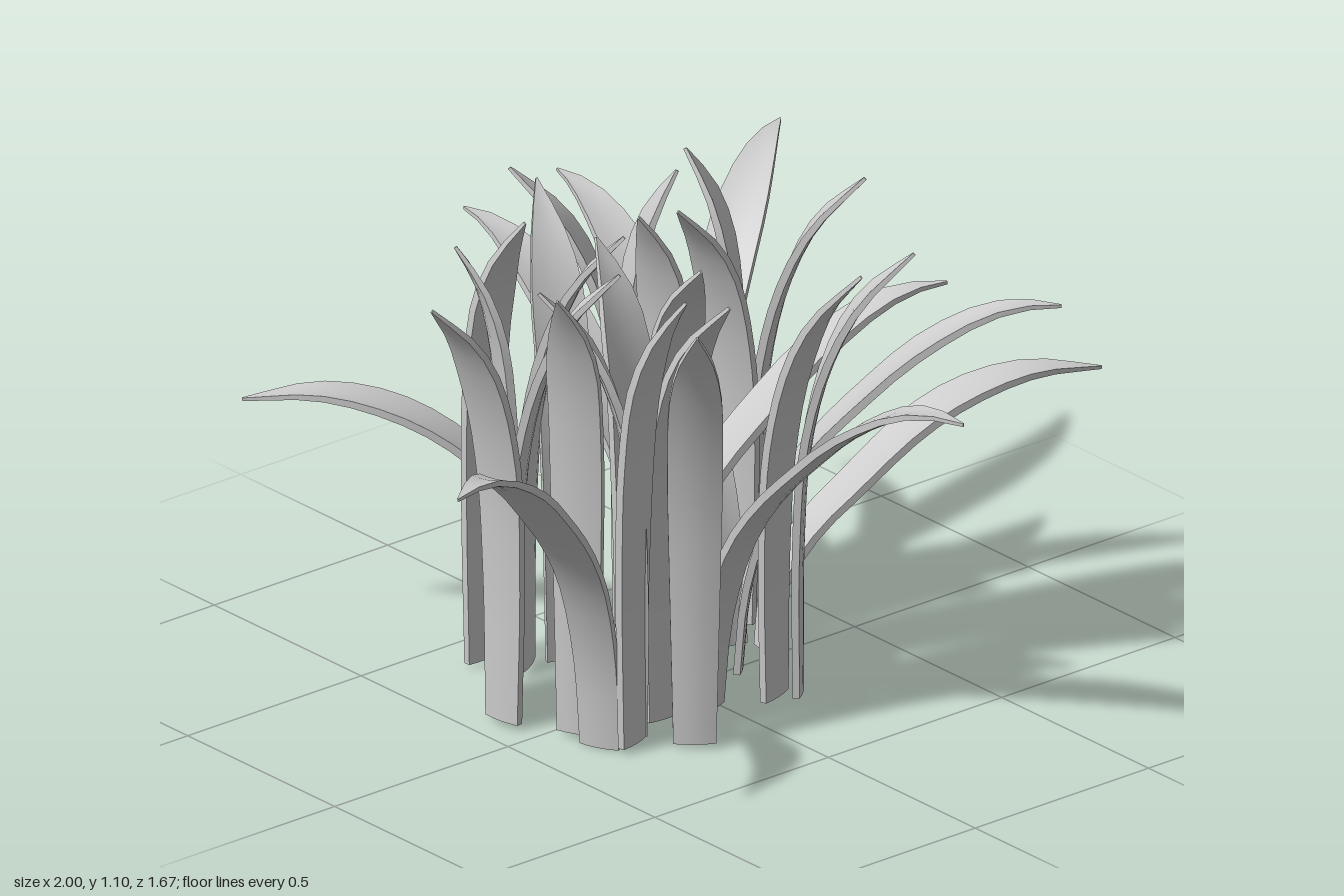
import * as THREE from 'three';
import { toCreasedNormals } from 'three/addons/utils/BufferGeometryUtils.js';

// Blade kinds: side profile as [outward, height], plus the share of length taken by the point
const KINDS = {
  uprightBlade: { taper: 0.24, profile: [[0, 0.01], [0, 0.4], [0.01, 0.7], [0.03, 0.87], [0.07, 1.0], [0.13, 1.1]] },
  leaningBlade: { taper: 0.28, profile: [[0, 0.01], [0, 0.35], [0.015, 0.6], [0.06, 0.8], [0.13, 0.95], [0.24, 1.07]] },
  archingBlade: { taper: 0.32, profile: [[0, 0], [0.02, 0.2], [0.08, 0.4], [0.16, 0.53], [0.28, 0.66], [0.4, 0.77], [0.55, 0.86], [0.65, 0.882], [0.715, 0.88]] },
  lowBlade: { taper: 0.36, profile: [[0, 0], [0.02, 0.15], [0.1, 0.28], [0.2, 0.37], [0.36, 0.5], [0.49, 0.56], [0.63, 0.585], [0.79, 0.565]] },
};

// Placement of every blade: [base x, base z, tip x, tip z]
const BLADES = {
  uprightBlade: [
    [-0.25, -0.38, -0.24, -0.25], [-0.33, -0.20, -0.44, -0.25], [0.09, -0.31, 0.20, -0.25],
    [0.37, -0.24, 0.29, -0.33], [-0.17, 0.04, -0.17, -0.09], [-0.29, 0.18, -0.25, 0.31],
    [0.09, -0.15, -0.03, -0.11], [-0.35, 0.06, -0.46, 0.12],
  ],
  leaningBlade: [
    [-0.43, -0.10, -0.66, -0.07], [-0.20, -0.29, -0.08, -0.10], [-0.36, -0.14, -0.22, 0.05],
    [0.38, -0.19, 0.53, 0.0], [0.31, -0.18, 0.10, -0.13], [0.15, -0.37, -0.03, -0.55],
    [-0.11, -0.26, -0.02, -0.47], [-0.23, 0.13, -0.42, 0.01], [0.01, -0.06, -0.07, 0.15],
    [-0.15, 0.12, -0.15, 0.34], [0.11, 0.19, 0.18, 0.40], [0.17, 0.20, 0.35, 0.38],
    [-0.19, 0.27, -0.31, 0.42],
  ],
  archingBlade: [
    [-0.345, 0.13, -1.0, 0.42], [-0.03, 0.13, 0.11, 0.83], [0.215, -0.10, 0.32, -0.80],
    [0.02, -0.07, 0.03, -0.775], [0.27, -0.31, 0.87, -0.69], [0.165, 0.0, 0.69, 0.48],
    [-0.10, 0.0, 0.58, 0.22],
  ],
  lowBlade: [[0.26, -0.02, 1.0, 0.25], [0.03, -0.31, -0.555, -0.84]],
};

const WIDTH = 0.122, THICK = 0.018, KEEL = 0.007, ACROSS = 4, STEPS = 18;

// Sweeps a thin keeled section along the profile: slim foot, full middle, rounded point
function bladeGeometry({ profile, taper }, reach) {
  const stretch = reach / profile[profile.length - 1][0];
  const curve = new THREE.CatmullRomCurve3(profile.map(([r, y]) => new THREE.Vector3(r * stretch, y, 0)));
  const positions = [], index = [], ring = 2 * (ACROSS + 1);
  for (let i = 0; i <= STEPS; i++) {
    const t = i / STEPS;
    const p = curve.getPointAt(t), d = curve.getTangentAt(t);
    const point = 1 - Math.pow(Math.max(0, 1 - (1 - t) / taper), 1.9);
    const w = Math.max(0.03, point * Math.min(1, 0.78 + 0.4 * t));
    for (let k = 0; k < ring; k++) {
      const upper = k <= ACROSS;
      const j = upper ? k : ring - 1 - k;
      const s = (2 * j) / ACROSS - 1;
      const n = KEEL * w * (s * s - 0.5) + (upper ? 0.5 : -0.5) * THICK * (0.4 + 0.6 * w);
      positions.push(p.x - d.y * n, p.y + d.x * n, (s * WIDTH * w) / 2);
    }
  }
  for (let i = 0; i < STEPS; i++) {
    for (let k = 0; k < ring; k++) {
      const a = i * ring + k, b = i * ring + ((k + 1) % ring);
      index.push(a, b, a + ring, b, b + ring, a + ring);
    }
  }
  // End caps, strip by strip
  const top = STEPS * ring;
  for (let j = 0; j < ACROSS; j++) {
    const o = ring - 1 - j;
    index.push(j, o, j + 1, j + 1, o, o - 1);
    index.push(top + j, top + j + 1, top + o, top + j + 1, top + o - 1, top + o);
  }
  const geometry = new THREE.BufferGeometry();
  geometry.setAttribute('position', new THREE.Float32BufferAttribute(positions, 3));
  geometry.setIndex(index);
  return toCreasedNormals(geometry, 0.7);
}

export function createModel() {
  const model = new THREE.Group();
  model.name = 'grassClump';
  const material = new THREE.MeshStandardMaterial({ color: 0xcccccc });
  for (const [name, places] of Object.entries(BLADES)) {
    for (const [bx, bz, tx, tz] of places) {
      const blade = new THREE.Mesh(bladeGeometry(KINDS[name], Math.hypot(tx - bx, tz - bz)), material);
      blade.name = name;
      blade.position.set(bx, 0, bz);
      blade.rotation.y = Math.atan2(bz - tz, tx - bx);
      model.add(blade);
    }
  }
  return model;
}
